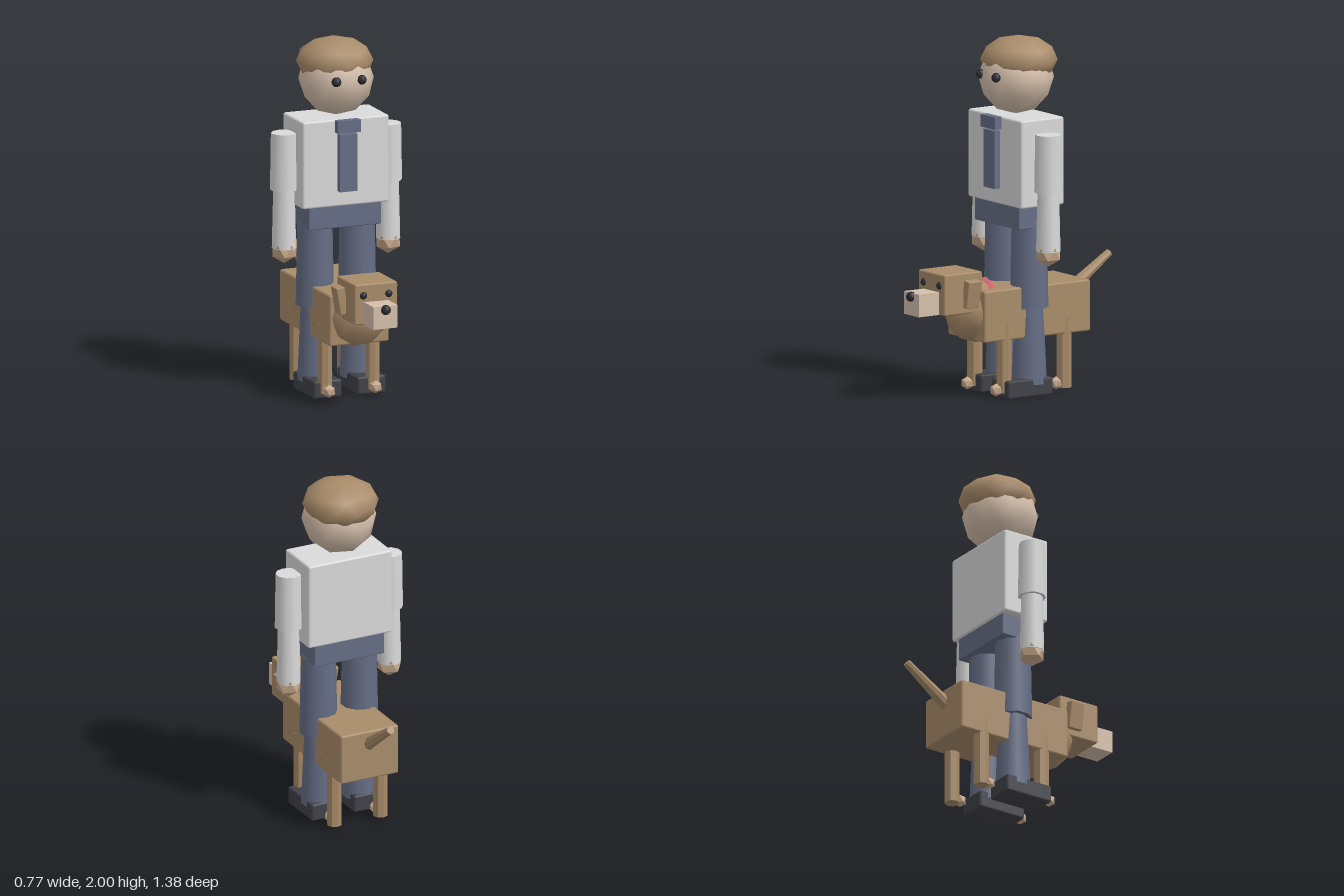
import * as THREE from 'three';
import { RoundedBoxGeometry } from 'three/addons/geometries/RoundedBoxGeometry.js';

const mat = (name, color) => {
  const m = new THREE.MeshStandardMaterial({ color });
  m.name = name;
  return m;
};

export function createModel() {
  const model = new THREE.Group();
  const fur = mat('tan fur and hair', 0xa98c6a);
  const skin = mat('pale skin', 0xd6c0ac);
  const paw = mat('tanned hands and paws', 0xc6a88a);
  const shirt = mat('light grey shirt', 0xdadada);
  const cloth = mat('slate blue cloth', 0x666e86);
  const shoe = mat('dark shoe', 0x404148);
  const dark = mat('near black', 0x2b2d33);
  const red = mat('collar red', 0xdc6872);

  const add = (parent, name, geo, material, x, y, z) => {
    const mesh = new THREE.Mesh(geo, material);
    mesh.name = name;
    mesh.position.set(x, y, z);
    parent.add(mesh);
    return mesh;
  };
  // Softly bevelled block
  const block = (w, h, d, bevel = 0.012) => new RoundedBoxGeometry(w, h, d, 1, bevel);
  // Low-poly ball with a vertex at each pole
  const ball = (r, detail = 1) =>
    new THREE.IcosahedronGeometry(r, detail).rotateZ(-Math.atan(2 / (1 + Math.sqrt(5))));
  const flat = (geo) => {
    const g = geo.toNonIndexed();
    g.computeVertexNormals();
    return g;
  };
  // Tapered limb between two heights
  const limb = (rTop, rBottom, top, bottom, sides = 10) =>
    new THREE.CylinderGeometry(rTop, rBottom, top - bottom, sides).translate(0, (top + bottom) / 2, 0);

  // ---- Man ----
  const man = new THREE.Group();
  man.name = 'man';
  model.add(man);
  const mz = -0.048;

  add(man, 'head', ball(0.21), skin, 0, 1.77, mz);
  add(man, 'hair', ball(1), fur, 0, 1.865, -0.067).scale.set(0.215, 0.135, 0.215);
  add(man, 'torso', block(0.52, 0.495, 0.29), shirt, 0, 1.318, mz);
  add(man, 'hips', block(0.434, 0.14, 0.26, 0.006), cloth, 0, 1.015, mz);
  add(man, 'tie', new THREE.BoxGeometry(0.105, 0.325, 0.04), cloth, 0, 1.322, 0.115);
  add(man, 'tieKnot', new THREE.BoxGeometry(0.138, 0.07, 0.045), cloth, 0, 1.53, 0.12);

  for (const s of [-1, 1]) {
    const side = s > 0 ? 'left' : 'right';
    add(man, side + 'Eye', flat(ball(0.028)), dark, s * 0.076, 1.79, 0.138);
    add(man, side + 'UpperArm', limb(0.073, 0.078, 1.485, 1.162), shirt, s * 0.313, 0, mz);
    add(man, side + 'Forearm', limb(0.06, 0.068, 1.17, 0.83), shirt, s * 0.313, 0, mz);
    add(man, side + 'Hand', ball(0.076, 0), paw, s * 0.313, 0.818, mz);
    add(man, side + 'Thigh', limb(0.098, 0.107, 0.96, 0.493), cloth, s * 0.127, 0, mz);
    add(man, side + 'Shin', limb(0.079, 0.098, 0.51, 0.065), cloth, s * 0.127, 0, mz);
    add(man, side + 'Shoe', block(0.17, 0.1, 0.3), shoe, s * 0.132, 0.05, 0.002);
  }

  // ---- Dog ----
  const dog = new THREE.Group();
  dog.name = 'dog';
  model.add(dog);

  add(dog, 'body', block(0.36, 0.29, 0.716), fur, 0, 0.47, -0.07);
  add(dog, 'chest', ball(0.18), fur, 0, 0.48, 0.222);
  add(dog, 'dogHead', block(0.256, 0.23, 0.256, 0.009), fur, 0, 0.607, 0.395);
  add(dog, 'muzzle', new THREE.BoxGeometry(0.145, 0.128, 0.15), skin, 0, 0.557, 0.583);
  add(dog, 'nose', flat(ball(0.029)), dark, 0, 0.6, 0.66);

  // Collar leaning back around the neck
  const collar = add(dog, 'collar', new THREE.TorusGeometry(0.15, 0.028, 5, 12), red, 0, 0.505, 0.242);
  collar.rotation.x = -0.5;

  for (const s of [-1, 1]) {
    const side = s > 0 ? 'left' : 'right';
    add(dog, side + 'DogEye', flat(ball(0.024)), dark, s * 0.076, 0.658, 0.515);
    const ear = add(dog, side + 'Ear', block(0.05, 0.155, 0.088, 0.005), fur, s * 0.147, 0.605, 0.353);
    ear.rotation.z = -s * 0.17;
    for (const [pos, z, bottom] of [['Front', 0.132, 0.03], ['Back', -0.272, 0.02]]) {
      add(dog, side + pos + 'Leg', flat(limb(0.043, 0.043, 0.42, bottom, 8)), fur, s * 0.143, 0, z);
      add(dog, side + pos + 'Paw', ball(0.037, 0), paw, s * 0.14, 0.047, z + 0.052);
    }
  }

  // Tail rising behind the body
  const from = new THREE.Vector3(0, 0.52, -0.39);
  const to = new THREE.Vector3(0, 0.717, -0.676);
  const dir = to.clone().sub(from);
  const tail = add(dog, 'tail', flat(new THREE.CylinderGeometry(0.022, 0.038, dir.length(), 8)), fur, 0, 0, 0);
  tail.position.addVectors(from, to).multiplyScalar(0.5);
  tail.quaternion.setFromUnitVectors(new THREE.Vector3(0, 1, 0), dir.normalize());

  return model;
}
